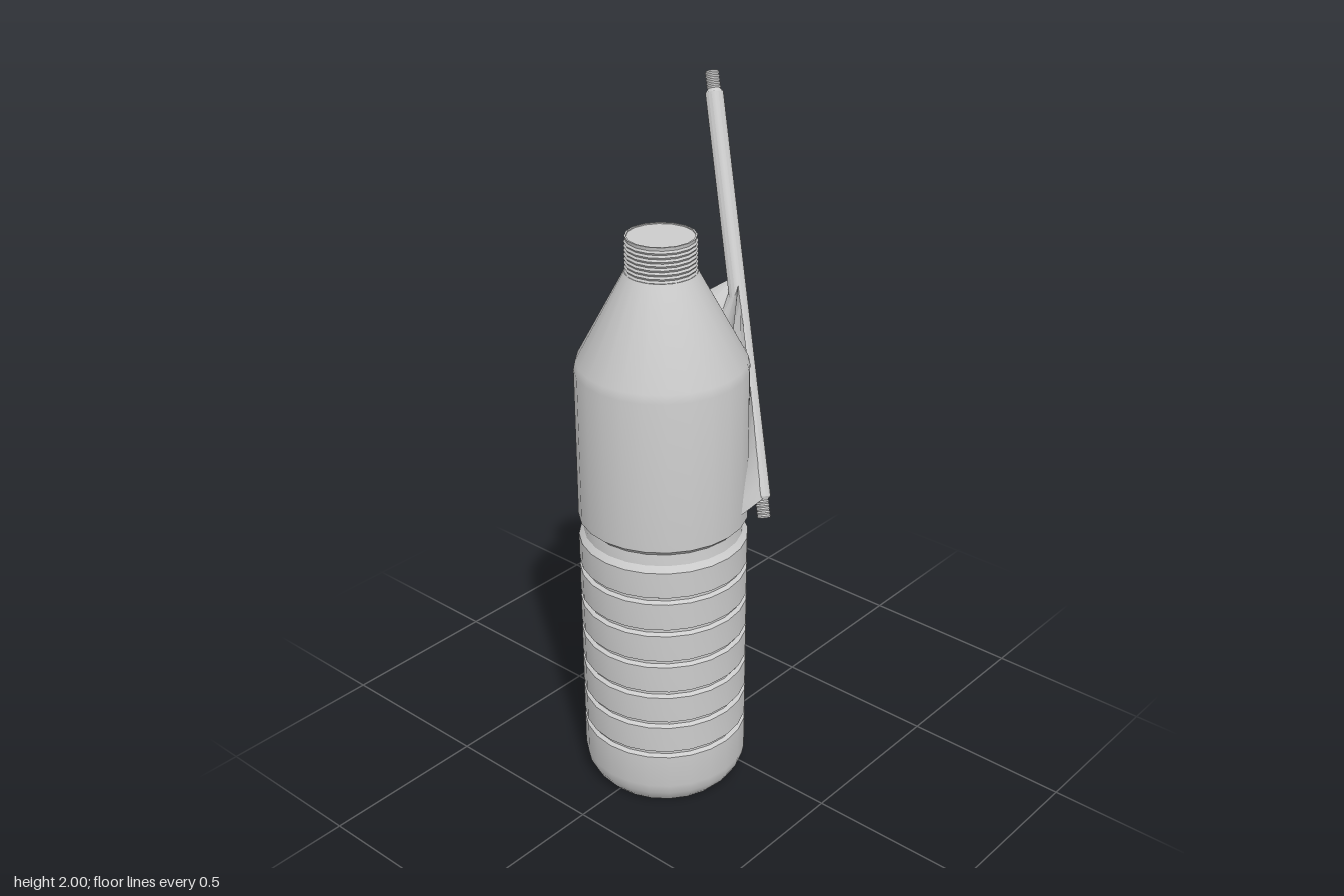
import * as THREE from 'three';
import { toCreasedNormals } from 'three/addons/utils/BufferGeometryUtils.js';

const AXIS_Z = 0.133;
const material = new THREE.MeshStandardMaterial({ color: 0xcccccc });

function turned(name, profile, sides) {
  const pts = profile.map(([r, y]) => new THREE.Vector2(r, y));
  const mesh = new THREE.Mesh(toCreasedNormals(new THREE.LatheGeometry(pts, sides), 0.45), material);
  mesh.name = name;
  return mesh;
}

// Zigzag profile of a fine screw thread
function thread(r, depth, y0, y1, turns) {
  const pts = [];
  const pitch = (y1 - y0) / turns;
  for (let i = 0; i < turns; i++) {
    pts.push([r - depth, y0 + i * pitch], [r, y0 + (i + 0.5) * pitch]);
  }
  pts.push([r - depth, y1]);
  return pts;
}

function bottleRadius(y) {
  return y < 1.33 ? 0.242 : 0.242 - 0.142 * (y - 1.33) / 0.27;
}

// Point around the bottle axis; angle 0 is the back, growing towards +x
function around(angle, r, y) {
  return new THREE.Vector3(r * Math.sin(angle), y, AXIS_Z - r * Math.cos(angle));
}

// Lofted wedge joining the slanted tube to the bottle wall
function mountGeometry(low, high) {
  const side = new THREE.Vector3(high.x - low.x, 0, high.z - low.z).normalize().multiplyScalar(0.022);
  const rows = [];
  const steps = 12;
  for (let i = 0; i <= steps; i++) {
    const s = i / steps;
    const y = THREE.MathUtils.lerp(0.93, 1.47, s);
    const c = low.clone().lerp(high, (y - low.y) / (high.y - low.y));
    const mid = Math.atan2(c.x, AXIS_Z - c.z);
    const half = THREE.MathUtils.lerp(0.38, 0.6, s);
    const footY = THREE.MathUtils.lerp(0.91, 1.4, s);
    const r = bottleRadius(footY) - 0.002;
    rows.push([around(mid - half, r, footY), c.clone().add(side),
      c.clone().sub(side), around(mid + half, r, footY)]);
  }
  const v = [];
  const tri = (...p) => p.forEach((q) => v.push(q.x, q.y, q.z));
  for (let i = 0; i < steps; i++) {
    for (let j = 0; j < 3; j++) {
      const [a, b, c, d] = [rows[i][j], rows[i][j + 1], rows[i + 1][j + 1], rows[i + 1][j]];
      tri(a, c, b);
      tri(a, d, c);
    }
  }
  // End webs, following the bottle wall between the two feet
  for (const [row, dip] of [[rows[0], 0], [rows[steps], 0.06]]) {
    const [f0, t0, t1, f1] = row;
    const angle = (p) => Math.atan2(p.x, AXIS_Z - p.z);
    const n = 8;
    const arc = [];
    for (let k = 0; k <= n; k++) {
      const y = f0.y - dip * Math.sin(Math.PI * k / n);
      arc.push(around(THREE.MathUtils.lerp(angle(f0), angle(f1), k / n), bottleRadius(y) - 0.002, y));
    }
    for (let k = 0; k < n; k++) tri(k < n / 2 ? t0 : t1, arc[k], arc[k + 1]);
    tri(t0, arc[n / 2], t1);
  }
  const geo = new THREE.BufferGeometry();
  geo.setAttribute('position', new THREE.Float32BufferAttribute(v, 3));
  return toCreasedNormals(geo, 0.5);
}

export function createModel() {
  const model = new THREE.Group();

  // Ribbed lower body, waist, plain upper body and conical shoulder
  const profile = [[0, 0], [0.205, 0], [0.222, 0.02], [0.236, 0.045], [0.242, 0.075]];
  for (const y of [0.19, 0.295, 0.4, 0.505, 0.61, 0.715]) {
    profile.push([0.242, y - 0.011], [0.231, y - 0.004], [0.231, y + 0.004], [0.242, y + 0.011]);
  }
  profile.push([0.242, 0.805], [0.228, 0.822], [0.224, 0.855], [0.242, 0.872],
    [0.242, 0.89], [0.242, 1.32], [0.237, 1.345], [0.1, 1.6], [0, 1.6]);
  const body = turned('bottleBody', profile, 24);
  body.position.z = AXIS_Z;

  // Threaded neck with a closed top
  const neck = turned('neck',
    [...thread(0.1, 0.004, 1.595, 1.69, 8), [0.098, 1.7], [0.093, 1.7], [0.093, 1.697], [0, 1.697]], 16);
  neck.position.z = AXIS_Z;
  model.add(body, neck);

  // Slanted tube with a threaded nipple at each end
  const low = new THREE.Vector3(0.247, 0.872, -0.017);
  const high = new THREE.Vector3(-0.242, 1.992, -0.358);
  const dir = high.clone().sub(low);
  const len = dir.length();
  const tube = new THREE.Group();
  tube.name = 'slantedTube';
  tube.add(
    turned('tubeShaft', [[0, 0.055], [0.022, 0.055], [0.026, 0.061], [0.026, len - 0.061],
      [0.022, len - 0.055], [0, len - 0.055]], 16),
    turned('lowerNipple', [[0, 0], ...thread(0.02, 0.003, 0, 0.06, 6)], 14),
    turned('upperNipple', [...thread(0.021, 0.003, len - 0.06, len, 6), [0, len]], 14),
  );
  tube.position.copy(low);
  tube.quaternion.setFromUnitVectors(new THREE.Vector3(0, 1, 0), dir.normalize());
  model.add(tube);

  // Mount that wraps the bottle and carries the tube
  const mountMaterial = new THREE.MeshStandardMaterial({ color: 0xcccccc, side: THREE.DoubleSide });
  const mount = new THREE.Mesh(mountGeometry(low, high), mountMaterial);
  mount.name = 'tubeMount';
  model.add(mount);

  return model;
}
